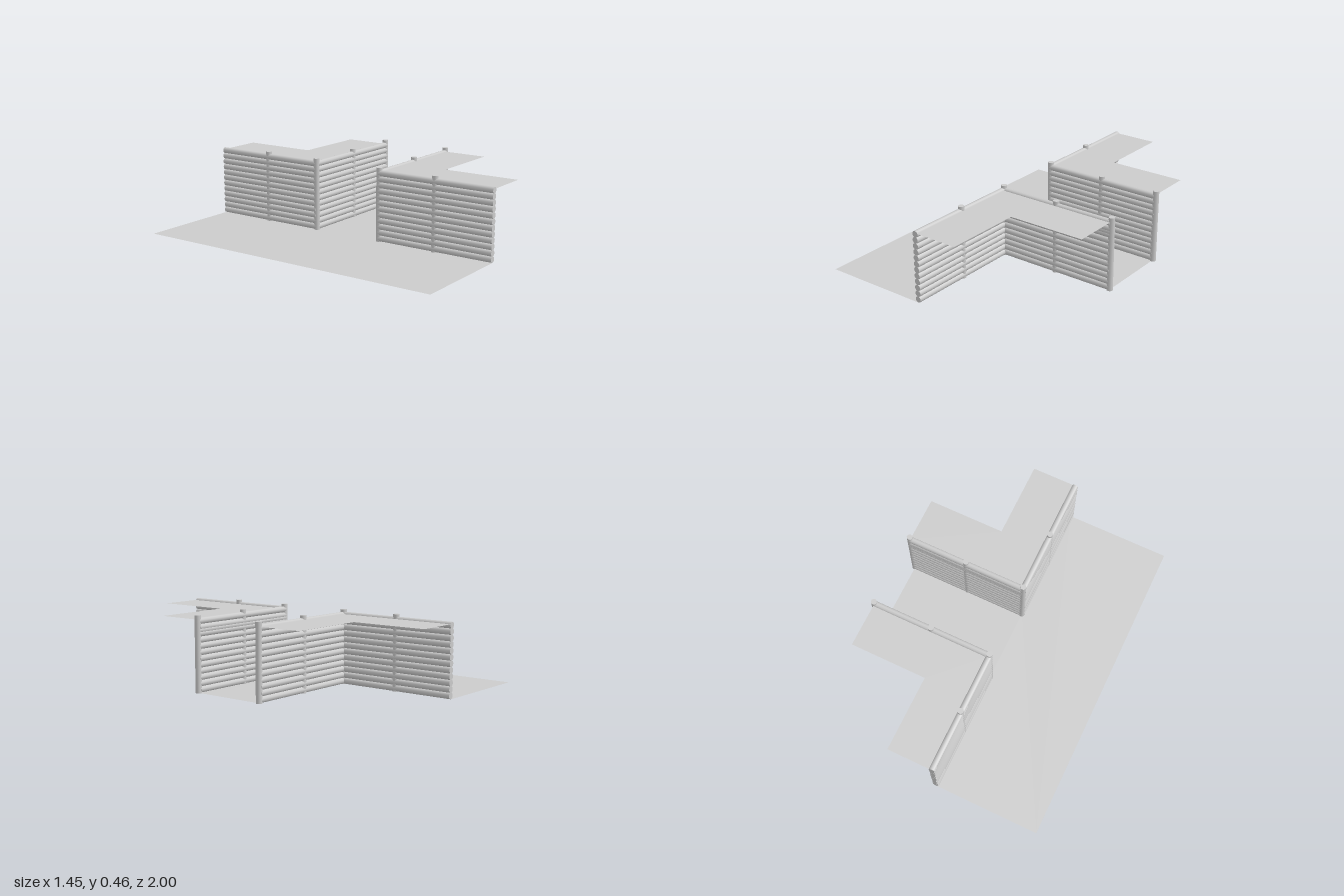
import * as THREE from 'three';

const WALL_X = -0.06, END_X = 0.705, LOG_R = 0.0195, PITCH = 0.0365, LOGS = 12;

const wood = new THREE.MeshStandardMaterial({ color: 0xcccccc });
const earth = new THREE.MeshStandardMaterial({ color: 0xcccccc, side: THREE.DoubleSide });

// Flat sheet at height y, outlined by [x, z] corners
function sheet(name, corners, y) {
  const shape = new THREE.Shape(corners.map(([x, z]) => new THREE.Vector2(x, -z)));
  const geo = new THREE.ShapeGeometry(shape).rotateX(-Math.PI / 2);
  const mesh = new THREE.Mesh(geo, earth);
  mesh.name = name;
  mesh.position.y = y;
  return mesh;
}

// Horizontal log between two [x, z] points
function log(a, b, y) {
  const dx = b[0] - a[0], dz = b[1] - a[1];
  const geo = new THREE.CylinderGeometry(LOG_R, LOG_R, Math.hypot(dx, dz), 10).rotateX(Math.PI / 2);
  const mesh = new THREE.Mesh(geo, wood);
  mesh.name = 'log';
  mesh.rotation.y = Math.atan2(dx, dz);
  mesh.position.set((a[0] + b[0]) / 2, y, (a[1] + b[1]) / 2);
  return mesh;
}

// Stack of logs forming one straight retaining wall
function logWall(name, a, b) {
  const wall = new THREE.Group();
  wall.name = name;
  for (let i = 0; i < LOGS; i++) wall.add(log(a, b, LOG_R + i * PITCH));
  return wall;
}

function post(name, x, z) {
  const height = 0.455;
  const mesh = new THREE.Mesh(new THREE.CylinderGeometry(0.0185, 0.0185, height, 10), wood);
  mesh.name = name;
  mesh.position.set(x, height / 2, z);
  return mesh;
}

export function createModel() {
  const model = new THREE.Group();
  model.name = 'trenchJunction';

  // T-shaped trench floor
  model.add(sheet('trenchFloor', [
    [-0.73, -1], [-0.73, 1], [WALL_X, 1], [WALL_X, 0.23],
    [END_X, 0.23], [END_X, -0.24], [WALL_X, -0.24], [WALL_X, -1],
  ], 0));

  // Each side of the branch: two log walls, their posts and the ground above
  for (const s of [1, -1]) {
    const z = s * 0.235 - 0.005;
    const side = new THREE.Group();
    side.name = s > 0 ? 'frontBank' : 'backBank';
    const branchWall = logWall('branchWall', [WALL_X, z], [END_X, z]);
    // Spare log wedged in near the top of the front wall
    if (s > 0) branchWall.add(log([WALL_X, z], [END_X, z], 0.367));
    side.add(
      branchWall,
      logWall('mainWall', [WALL_X, z], [WALL_X, s]),
      post('cornerPost', WALL_X, z),
      post('branchMiddlePost', 0.325, z),
      post('branchEndPost', 0.707, z),
      post('mainMiddlePost', WALL_X, s * 0.62 - 0.003),
      sheet('groundLedge', [
        [WALL_X, z], [END_X, z], [END_X, z + s * 0.288],
        [0.222, z + s * 0.288], [0.222, s], [WALL_X, s],
      ], 0.428),
    );
    model.add(side);
  }
  return model;
}
